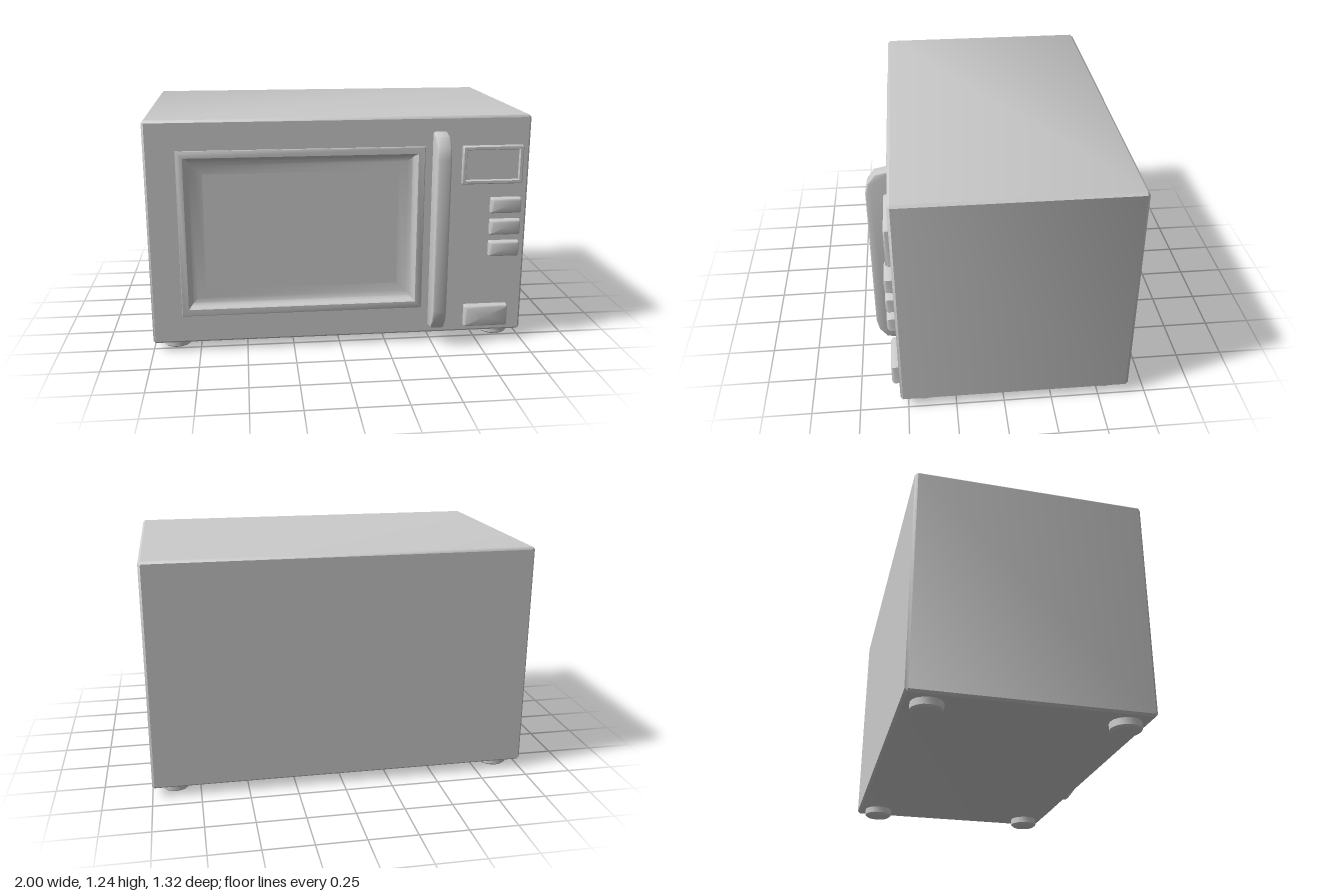
import * as THREE from 'three';
import { toCreasedNormals } from 'three/addons/utils/BufferGeometryUtils.js';

const grey = new THREE.MeshStandardMaterial({ color: 0xcccccc });

function mesh(name, geometry, parent) {
  const m = new THREE.Mesh(geometry, grey);
  m.name = name;
  parent.add(m);
  return m;
}

// Skin through chamfered rectangles; rings are [inset, z, corner chamfer], ordered back to front
function loftRect([x0, x1, y0, y1], rings, capBack, capFront) {
  const loops = rings.map(([i, z, c]) => {
    const l = x0 + i, r = x1 - i, b = y0 + i, t = y1 - i;
    return [[l + c, b], [r - c, b], [r, b + c], [r, t - c], [r - c, t], [l + c, t], [l, t - c], [l, b + c]]
      .map(([x, y]) => [x, y, z]);
  });
  const pos = [];
  const tri = (...pts) => pts.forEach((p) => pos.push(...p));
  const cx = (x0 + x1) / 2, cy = (y0 + y1) / 2, last = loops.length - 1;
  for (let j = 0; j < 8; j++) {
    const k = (j + 1) % 8;
    for (let i = 0; i < last; i++) {
      const a = loops[i][j], b = loops[i][k], c = loops[i + 1][k], d = loops[i + 1][j];
      tri(a, b, c);
      tri(a, c, d);
    }
    if (capBack) tri([cx, cy, rings[0][1]], loops[0][k], loops[0][j]);
    if (capFront) tri([cx, cy, rings[last][1]], loops[last][j], loops[last][k]);
  }
  const g = new THREE.BufferGeometry();
  g.setAttribute('position', new THREE.Float32BufferAttribute(pos, 3));
  return toCreasedNormals(g, 0.7);
}

export function createModel() {
  const group = new THREE.Group();
  group.name = 'microwave';
  const front = 0.54;

  // Casing: bevelled box, front left open for the front plate
  const casing = [-1, 1, 0.045, 1.24];
  mesh('casing', loftRect(casing, [
    [0.012, -0.66, 0.006], [0, -0.645, 0.012], [0, front - 0.013, 0.012], [0.012, front, 0.006],
  ], true, false), group);

  // Front plate with the window opening
  const plate = new THREE.Shape();
  const win = { l: -0.84, r: 0.44, b: 0.2, t: 1.085 };
  plate.moveTo(-0.988, 0.057).lineTo(0.988, 0.057).lineTo(0.988, 1.228).lineTo(-0.988, 1.228).closePath();
  const hole = new THREE.Path();
  hole.moveTo(win.l, win.b).lineTo(win.l, win.t).lineTo(win.r, win.t).lineTo(win.r, win.b).closePath();
  plate.holes.push(hole);
  mesh('frontPlate', new THREE.ShapeGeometry(plate).translate(0, 0, front), group);

  // Raised door frame with a concave slope down to the sunken glass
  const glassInset = 0.13, glassZ = 0.503;
  mesh('windowFrame', loftRect([win.l, win.r, win.b, win.t], [
    [0, front - 0.01, 0], [0, 0.551, 0], [0.004, 0.554, 0], [0.036, 0.554, 0], [0.041, 0.548, 0],
    [0.046, 0.53, 0], [0.06, 0.516, 0], [0.085, 0.507, 0], [glassInset, glassZ, 0],
  ], false, false), group);
  mesh('windowGlass', new THREE.PlaneGeometry(win.r - win.l - 2 * glassInset, win.t - win.b - 2 * glassInset)
    .translate((win.l + win.r) / 2, (win.b + win.t) / 2, glassZ), group);

  // Display with a shallow sunken screen
  mesh('display', loftRect([0.637, 0.96, 0.882, 1.085], [
    [0, front - 0.01, 0.004], [0, 0.56, 0.004], [0.005, 0.566, 0.003],
    [0.018, 0.566, 0], [0.023, 0.553, 0],
  ], false, true), group);

  // Control buttons and the door release
  const button = (name, rect) => mesh(name, loftRect(rect, [
    [0, front - 0.01, 0.005], [0, 0.567, 0.005], [0.004, 0.576, 0.005], [0.012, 0.581, 0.003],
  ], false, true), group);
  [0.764, 0.645, 0.525].forEach((y, i) => button('button' + (i + 1), [0.797, 0.96, y - 0.041, y + 0.041]));
  button('doorRelease', [0.677, 0.915, 0.085, 0.205]);

  // Door handle: faceted side profile (z, y), extruded across x with a small bevel
  const bevel = 0.012;
  const profile = [
    [0.53, 0.098], [0.6, 0.112], [0.635, 0.157], [0.648, 0.215],
    [0.648, 1.032], [0.635, 1.09], [0.6, 1.135], [0.53, 1.152],
  ].map(([z, y]) => new THREE.Vector2(-z, y));
  const handle = new THREE.ExtrudeGeometry(new THREE.Shape(profile), {
    depth: 0.075 - 2 * bevel, bevelEnabled: true, bevelSize: bevel, bevelThickness: bevel, bevelSegments: 2,
  });
  handle.rotateY(Math.PI / 2).translate(0.48 + bevel, 0, 0);
  mesh('handle', toCreasedNormals(handle, 0.6), group);

  // Four round feet
  const footProfile = [[0, 0], [0.068, 0], [0.08, 0.01], [0.08, 0.05]].map(([r, y]) => new THREE.Vector2(r, y));
  const foot = toCreasedNormals(new THREE.LatheGeometry(footProfile, 16), 0.6);
  for (const x of [-0.88, 0.88]) {
    for (const z of [0.42, -0.54]) {
      mesh((z > 0 ? 'front' : 'back') + (x > 0 ? 'Left' : 'Right') + 'Foot', foot, group).position.set(x, 0, z);
    }
  }
  return group;
}
